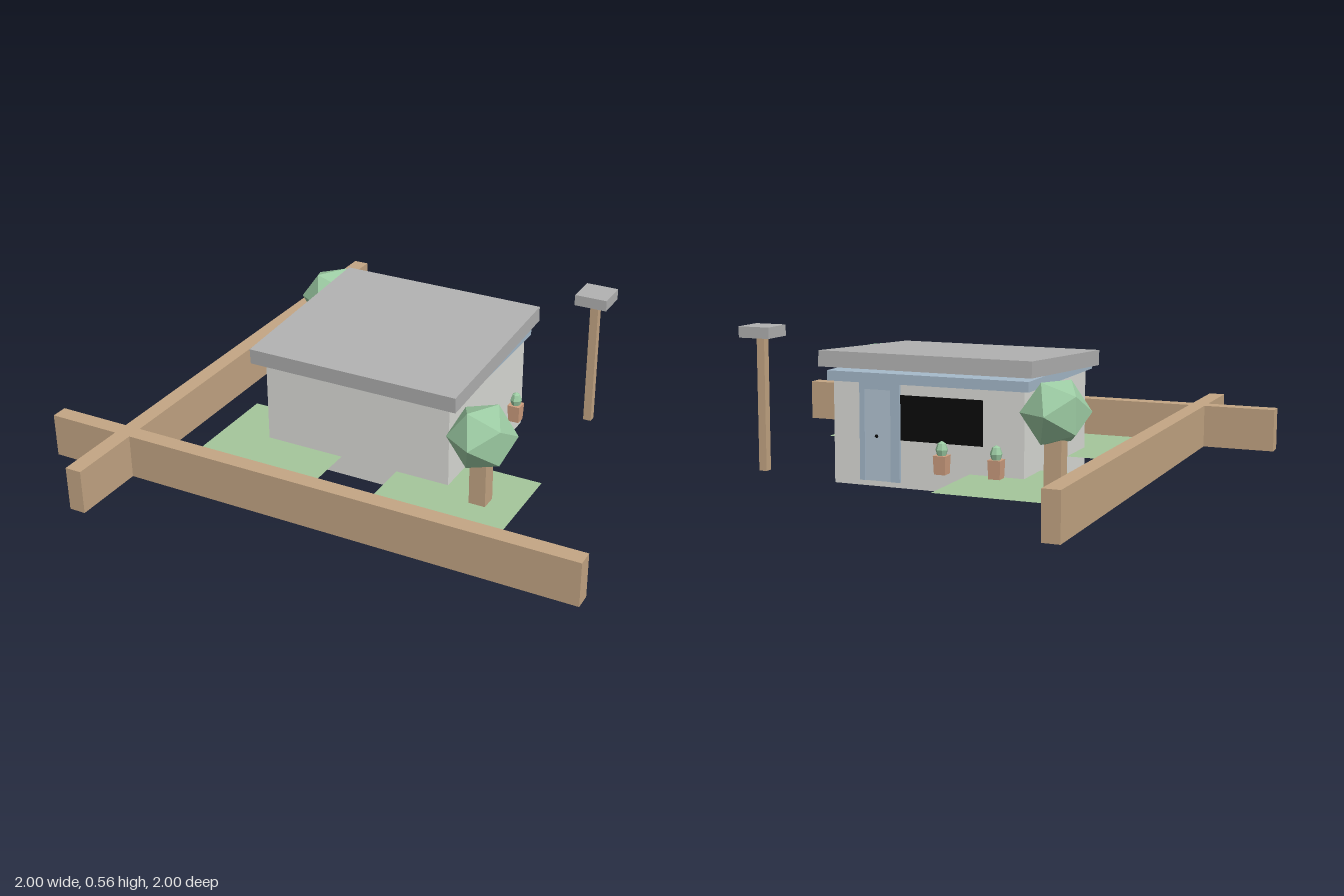
import * as THREE from 'three';

const mat = (color) => new THREE.MeshStandardMaterial({ color, flatShading: true });
const wall = mat(0xdcddd8), roofGrey = mat(0xb2b2b2), wood = mat(0xc4a684), clay = mat(0xcf9f80);
const blue = mat(0xa6bacb), paleBlue = mat(0xb4c6d4), leaf = mat(0x9ccba3), black = mat(0x0a0a0a);
const grass = mat(0xa5c69b);
grass.side = THREE.DoubleSide;

export function createModel() {
  const model = new THREE.Group();

  const add = (parent, name, geometry, material, x = 0, y = 0, z = 0) => {
    const mesh = new THREE.Mesh(geometry, material);
    mesh.name = name;
    mesh.position.set(x, y, z);
    parent.add(mesh);
    return mesh;
  };
  // Box given by its extents on each axis
  const box = (parent, name, material, [x0, x1], [y0, y1], [z0, z1]) =>
    add(parent, name, new THREE.BoxGeometry(x1 - x0, y1 - y0, z1 - z0), material,
      (x0 + x1) / 2, (y0 + y1) / 2, (z0 + z1) / 2);
  const group = (name, x = 0, y = 0, z = 0) => {
    const g = new THREE.Group();
    g.name = name;
    g.position.set(x, y, z);
    model.add(g);
    return g;
  };

  // House: walls, trim band and sloping roof
  const house = group('house');
  box(house, 'walls', wall, [-0.36, 0.36], [0, 0.385], [-0.32, 0.32]);
  box(house, 'trimBand', blue, [-0.38, 0.38], [0.368, 0.404], [-0.335, 0.335]);
  const roof = add(house, 'roof', new THREE.BoxGeometry(0.8, 0.057, 0.72), roofGrey, 0, 0.428, 0);
  roof.rotation.x = 0.056;

  // Door and window on the back wall
  box(house, 'doorPanel', paleBlue, [0.13, 0.24], [0.02, 0.35], [-0.326, -0.318]);
  box(house, 'doorJambLeft', blue, [0.235, 0.255], [0.02, 0.37], [-0.33, -0.318]);
  box(house, 'doorJambRight', blue, [0.1, 0.135], [0.02, 0.37], [-0.33, -0.318]);
  box(house, 'doorLintel', blue, [0.135, 0.235], [0.345, 0.37], [-0.33, -0.318]);
  add(house, 'doorKnob', new THREE.IcosahedronGeometry(0.007, 0), black, 0.19, 0.18, -0.327);
  box(house, 'window', black, [-0.21, 0.1], [0.17, 0.33], [-0.322, -0.318]);

  // Crossing fence beams
  box(model, 'frontFence', wood, [-1, 1], [0.04, 0.2], [0.67, 0.73]);
  box(model, 'sideFence', wood, [-0.73, -0.67], [0.04, 0.2], [-1, 1]);

  // Lawns
  const lawn = new THREE.PlaneGeometry(0.48, 0.48).rotateX(-Math.PI / 2);
  for (const [x, z] of [[-0.4, -0.4], [-0.3, 0.36], [0.4, 0.4]]) add(model, 'lawn', lawn, grass, x, 0.07, z);

  // Tree crown: 20-sided ball whose poles lie on z
  const crown = new THREE.IcosahedronGeometry(0.12, 0);
  crown.rotateX(-Math.atan(2 / (1 + Math.sqrt(5))));
  crown.rotateX(Math.atan(2 / (1 + Math.sqrt(5))) * 2);
  crown.rotateZ(-Math.PI / 2);
  for (const [x, z] of [[0.5, 0.36], [-0.5, -0.4]]) {
    const tree = group('tree', x, 0, z);
    box(tree, 'trunk', wood, [-0.03, 0.03], [0.04, 0.24], [-0.03, 0.03]);
    add(tree, 'crown', crown, leaf, 0, 0.32, 0);
  }

  // Lamp post
  const lamp = group('lampPost', 0.6, 0, -0.4);
  box(lamp, 'post', wood, [-0.015, 0.015], [0.04, 0.52], [-0.015, 0.015]);
  box(lamp, 'cap', roofGrey, [-0.06, 0.06], [0.52, 0.56], [-0.06, 0.06]);

  // Potted plants along the walls
  const pot = new THREE.CylinderGeometry(0.033, 0.029, 0.065, 4).rotateY(Math.PI / 4);
  const plant = new THREE.LatheGeometry(
    [[0.013, 0.13], [0.022, 0.16], [0.014, 0.182], [0, 0.19]].map(([r, y]) => new THREE.Vector2(r, y)), 7);
  for (const [x, z] of [[-0.28, -0.373], [-0.08, -0.373], [0.384, -0.205]]) {
    const potted = group('pottedPlant', x, 0, z);
    add(potted, 'pot', pot, clay, 0, 0.108, 0);
    add(potted, 'plant', plant, leaf);
  }
  return model;
}
